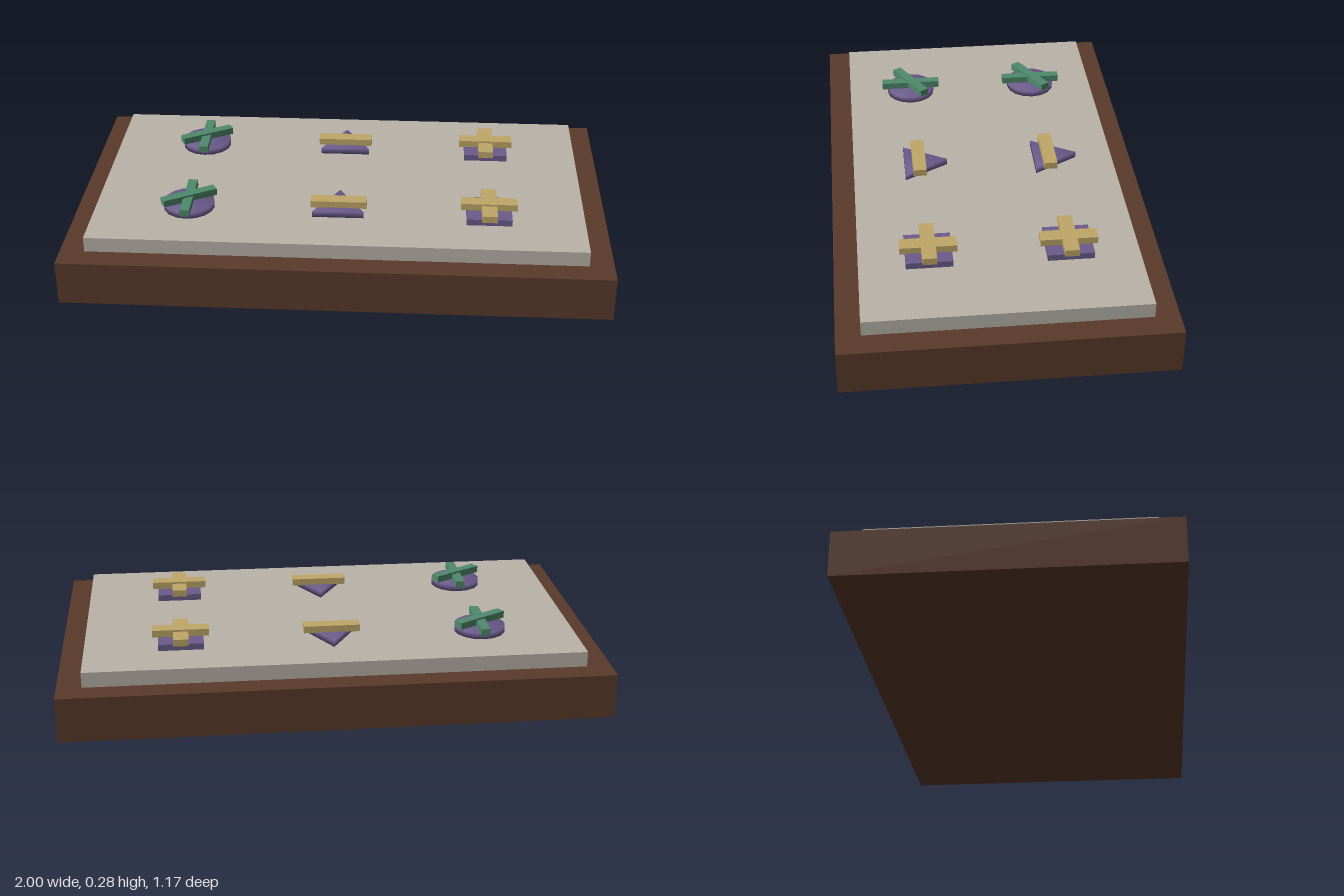
import * as THREE from 'three';
import { mergeVertices } from 'three/addons/utils/BufferGeometryUtils.js';

const material = (name, color) => {
  const m = new THREE.MeshStandardMaterial({ color });
  m.name = name;
  return m;
};

export function createModel() {
  const wood = material('dark wood', 0x5a3a2b);
  const stone = material('grey stone', 0xb9b3a9);
  const purple = material('muted purple', 0x6b5b8c);
  const gold = material('pale gold', 0xbfa768);
  const green = material('sea green', 0x4f8a6c);

  const model = new THREE.Group();
  model.name = 'tokenBoard';

  const add = (parent, name, geometry, mat, y, turn = 0) => {
    const mesh = new THREE.Mesh(geometry, mat);
    mesh.name = name;
    mesh.position.y = y;
    mesh.rotation.y = turn;
    parent.add(mesh);
  };
  const box = (w, h, d) => new THREE.BoxGeometry(w, h, d);

  // Prism with normals shared across its edges, for a soft pebble look
  const softPrism = (radius, sides, height, start) => {
    const g = new THREE.CylinderGeometry(radius, radius, height, sides, 1, false, start);
    g.deleteAttribute('normal');
    g.deleteAttribute('uv');
    const merged = mergeVertices(g, 1e-4);
    merged.computeVertexNormals();
    return merged;
  };

  // Wooden base and stone slab
  add(model, 'base', box(2, 0.167, 1.175), wood, 0.0835);
  add(model, 'slab', box(1.82, 0.057, 1), stone, 0.1955);

  // Two rows of three tokens, each a purple body with bars laid over it
  const bodyY = 0.236, bodyH = 0.024, lowY = 0.26, highY = 0.267, barH = 0.026;
  for (const z of [-0.25, 0.25]) {
    const token = (name, x) => {
      const g = new THREE.Group();
      g.name = name;
      g.position.set(x, 0, z);
      model.add(g);
      return g;
    };

    const round = token('roundToken', -0.56);
    add(round, 'disc', softPrism(0.095, 16, bodyH, 0), purple, bodyY);
    add(round, 'longBar', box(0.035, barH, 0.233), green, lowY);
    add(round, 'slantedBar', box(0.21, barH, 0.036), green, highY, Math.PI / 6);

    const triangle = token('triangleToken', 0);
    add(triangle, 'wedge', softPrism(0.11, 3, bodyH, Math.PI), purple, bodyY);
    add(triangle, 'crossBar', box(0.208, barH, 0.05), gold, lowY);

    const square = token('squareToken', 0.557);
    add(square, 'tile', box(0.167, bodyH, 0.167), purple, bodyY);
    add(square, 'lowerBar', box(0.056, barH, 0.205), gold, lowY);
    add(square, 'upperBar', box(0.208, barH, 0.052), gold, highY);
  }
  return model;
}
